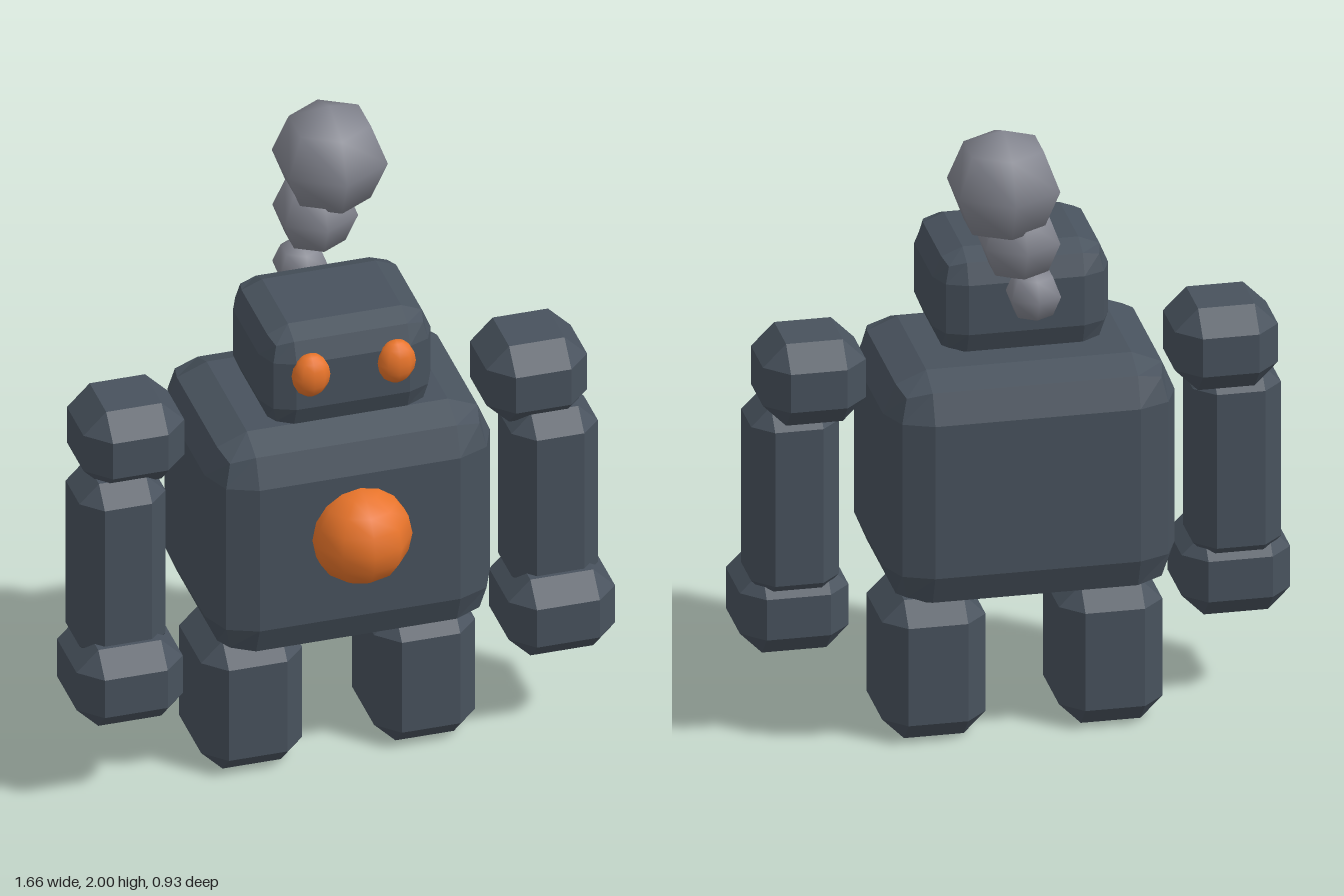
import * as THREE from 'three';
import { RoundedBoxGeometry } from 'three/addons/geometries/RoundedBoxGeometry.js';
import { ConvexGeometry } from 'three/addons/geometries/ConvexGeometry.js';

const flat = (name, color) => {
  const m = new THREE.MeshStandardMaterial({ color });
  m.name = name;
  return m;
};

// Box with every edge cut by one chamfer of width c
function chamferBox(w, h, d, c) {
  const points = [];
  for (const sx of [-1, 1]) for (const sy of [-1, 1]) for (const sz of [-1, 1]) {
    const [x, y, z] = [sx * w / 2, sy * h / 2, sz * d / 2];
    points.push(
      new THREE.Vector3(x, y - sy * c, z - sz * c),
      new THREE.Vector3(x - sx * c, y, z - sz * c),
      new THREE.Vector3(x - sx * c, y - sy * c, z));
  }
  return new ConvexGeometry(points);
}

export function createModel() {
  const group = new THREE.Group();
  group.name = 'robot';
  const iron = flat('darkIron', 0x48525d);
  iron.flatShading = true;
  const glow = flat('orangeGlow', 0xe8742a);
  const smoke = flat('smokeGrey', 0x83858f);

  const add = (name, geometry, material, x, y, z) => {
    const mesh = new THREE.Mesh(geometry, material);
    mesh.name = name;
    mesh.position.set(x, y, z);
    group.add(mesh);
    return mesh;
  };
  // Low-poly ball with a corner of its outline facing front
  const ball = (r, sides, rings) => new THREE.SphereGeometry(r, sides, rings).rotateY(Math.PI / 2);

  // Torso and head with two-step rounded edges
  add('torso', new RoundedBoxGeometry(0.88, 0.75, 0.665, 1, 0.13), iron, 0, 0.847, -0.023);
  add('head', new RoundedBoxGeometry(0.53, 0.338, 0.438, 1, 0.09), iron, 0, 1.387, 0.022);
  add('chestLamp', ball(0.155, 10, 8), glow, 0, 0.89, 0.308);

  // Paired parts
  for (const s of [1, -1]) {
    const side = s > 0 ? 'left' : 'right';
    add(side + 'Eye', ball(1, 10, 8), glow, s * 0.132, 1.424, 0.24).scale.set(0.06, 0.071, 0.046);
    add(side + 'Shoulder', chamferBox(0.311, 0.263, 0.307, 0.07), iron, s * 0.622, 1.159, -0.024);
    add(side + 'Arm', chamferBox(0.266, 0.615, 0.259, 0.06), iron, s * 0.667, 0.758, 0.023);
    add(side + 'Hand', chamferBox(0.328, 0.264, 0.331, 0.067), iron, s * 0.667, 0.402, 0.066);
    add(side + 'Leg', chamferBox(0.312, 0.445, 0.353, 0.066), iron, s * 0.267, 0.2225, -0.023);
  }

  // Smoke puffs rising behind the head: radius, x, y
  const puffs = [[0.086, 0, 1.466], [0.13, 0.045, 1.647], [0.176, 0.09, 1.824]];
  puffs.forEach(([r, x, y], i) => add('smokePuff' + (i + 1), ball(r, 6, 4), smoke, x, y, -0.29));

  return group;
}
